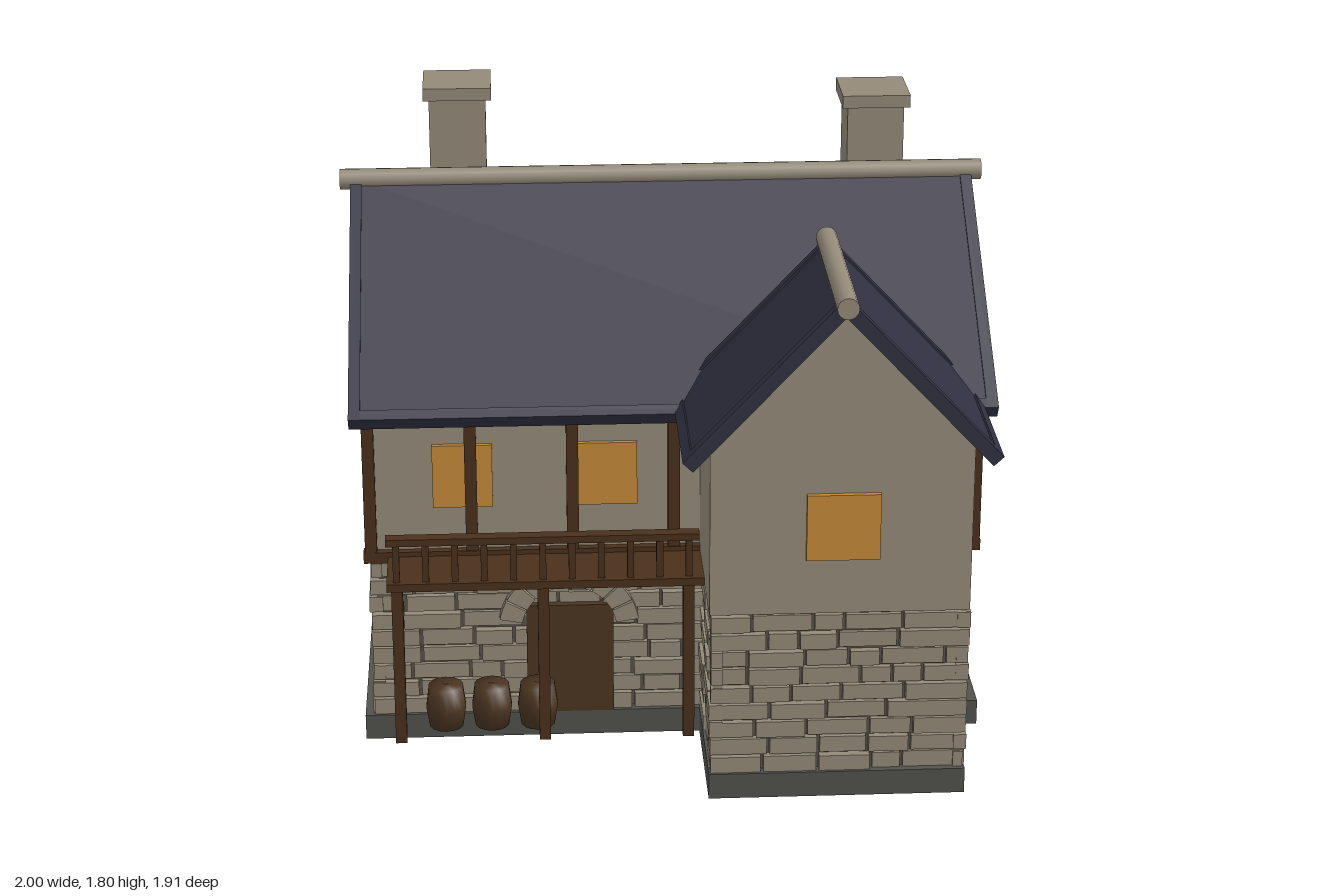
import * as THREE from 'three';
import { mergeGeometries } from 'three/addons/utils/BufferGeometryUtils.js';

const mat = (name, color) => {
  const m = new THREE.MeshStandardMaterial({ color });
  m.name = name;
  return m;
};

export function createModel() {
  const plaster = mat('plaster', 0x958b7a);
  const stone = mat('stone', 0x938a79);
  const mortar = mat('mortar', 0x575046);
  const slate = mat('slate', 0x313041);
  const footing = mat('footing', 0x51524d);
  const timber = mat('timber', 0x4a301b);
  const glow = mat('windowGlow', 0xc58a38);
  const doorWood = mat('doorWood', 0x4b3521);

  const house = new THREE.Group();
  house.name = 'house';
  let seed = 7;
  const rand = () => (seed = (seed * 16807) % 2147483647) / 2147483647;

  const add = (name, geometry, material, parent = house) => {
    const m = new THREE.Mesh(geometry, material);
    m.name = name;
    parent.add(m);
    return m;
  };
  const boxGeo = (x0, x1, y0, y1, z0, z1) =>
    new THREE.BoxGeometry(x1 - x0, y1 - y0, z1 - z0)
      .translate((x0 + x1) / 2, (y0 + y1) / 2, (z0 + z1) / 2);
  const box = (name, material, ...b) => add(name, boxGeo(...b), material);

  // Footing
  box('mainFooting', footing, -0.95, 0.945, 0, 0.08, -0.89, 0.48);
  box('wingFooting', footing, 0.08, 0.845, 0, 0.08, 0.48, 0.92);

  // Ground floor: mortar core faced with coursed stone blocks
  box('mainCore', mortar, -0.895, 0.87, 0.08, 0.6, -0.86, 0.445);
  box('wingCore', mortar, 0.1, 0.825, 0.08, 0.6, 0.4, 0.885);
  const rows = 9, rowH = 0.515 / rows, gap = 0.009;
  function stoneWall(name, along, from, to, face, out) {
    const parts = [];
    for (let r = 0; r < rows; r++) {
      const y0 = 0.08 + r * rowH;
      let a = from;
      while (a < to - 0.001) {
        let b = a + 0.09 + rand() * 0.1;
        if (to - b < 0.06) b = to;
        const f = face + out * (rand() - 0.5) * 0.016, back = face - out * 0.035;
        const lo = Math.min(f, back), hi = Math.max(f, back);
        const end = b === to ? b : b - gap;
        const top = y0 + rowH - gap * (0.6 + rand() * 0.6);
        parts.push(along === 'x' ? boxGeo(a, end, y0, top, lo, hi) : boxGeo(lo, hi, y0, top, a, end));
        a = b;
      }
    }
    add(name, mergeGeometries(parts), stone);
  }
  stoneWall('frontStones', 'x', -0.92, 0.89, 0.465, 1);
  stoneWall('backStones', 'x', -0.92, 0.89, -0.875, -1);
  stoneWall('leftStones', 'z', -0.875, 0.465, 0.89, 1);
  stoneWall('rightStones', 'z', -0.875, 0.465, -0.92, -1);
  stoneWall('wingFrontStones', 'x', 0.085, 0.845, 0.905, 1);
  stoneWall('wingLeftStones', 'z', 0.46, 0.905, 0.845, 1);
  stoneWall('wingRightStones', 'z', 0.46, 0.905, 0.085, -1);

  // Upper floors: gabled prisms, ridge along local z
  function gable(name, half, y0, eave, apex, depth) {
    const s = new THREE.Shape();
    s.moveTo(-half, y0);
    s.lineTo(half, y0);
    s.lineTo(half, eave);
    s.lineTo(0, apex);
    s.lineTo(-half, eave);
    const g = new THREE.ExtrudeGeometry(s, { depth, bevelEnabled: false });
    return add(name, g.translate(0, 0, -depth / 2), plaster);
  }
  const mainUpper = gable('mainUpperFloor', 0.668, 0.595, 1.075, 1.545, 1.8);
  mainUpper.rotation.y = Math.PI / 2;
  mainUpper.position.z = -0.208;
  gable('wingUpperFloor', 0.3825, 0.595, 1.11, 1.525, 0.465).position.set(0.4625, 0, 0.6725);

  // Roofs: two slabs with raised edging and a round ridge cap
  function roof(name, length, run, rise, th, ridgeLength, capDrop) {
    const g = new THREE.Group();
    g.name = name;
    const L = Math.hypot(run, rise), ang = Math.atan2(rise, run), h = length / 2, e = 0.035;
    for (const turn of [0, Math.PI]) {
      const slab = mergeGeometries([
        boxGeo(0, L, -th, -0.006, -h, h),
        boxGeo(0, L, -th - 0.004, 0, h - e, h),
        boxGeo(0, L, -th - 0.004, 0, -h, e - h),
        boxGeo(L - e, L, -th - 0.004, 0, -h, h),
      ]);
      add('roofSlope', slab.rotateZ(-ang).rotateY(turn), slate, g);
    }
    const cap = new THREE.CylinderGeometry(0.032, 0.032, ridgeLength, 16).rotateX(Math.PI / 2);
    add('ridgeCap', cap.translate(0, -capDrop, 0), stone, g);
    house.add(g);
    return g;
  }
  const mainRoof = roof('mainRoof', 1.935, 0.745, 0.52, 0.046, 2, 0.012);
  mainRoof.rotation.y = Math.PI / 2;
  mainRoof.position.set(0, 1.603, -0.21);
  roof('wingRoof', 0.555, 0.463, 0.494, 0.037, 0.63, 0.02).position.set(0.463, 1.578, 0.643);

  // Chimneys
  for (const [x, z, top] of [[-0.635, -0.58, 1.8], [0.697, -0.548, 1.765]]) {
    box('chimneyShaft', stone, x - 0.09, x + 0.09, 1.15, top - 0.04, z - 0.092, z + 0.092);
    box('chimneyCap', stone, x - 0.108, x + 0.108, top - 0.04, top, z - 0.108, z + 0.108);
  }

  // Timber frame
  for (const z of [0.465, -0.875]) {
    box('sillBeam', timber, -0.938, 0.935, 0.595, 0.63, z - 0.02, z + 0.02);
    for (let i = 0; i < 7; i++) {
      const x = -0.915 + i * 0.305;
      box('framePost', timber, x - 0.018, x + 0.018, 0.61, 1.085, z - 0.018, z + 0.018);
    }
  }

  // Windows
  for (const x of [-0.635, -0.2])
    box('frontWindow', glow, x - 0.09, x + 0.09, 0.77, 0.97, 0.455, 0.475);
  for (const x of [-0.4, 0.4])
    box('backWindow', glow, x - 0.09, x + 0.09, 0.77, 0.97, -0.89, -0.87);
  box('wingWindow', glow, 0.36, 0.575, 0.77, 0.975, 0.9, 0.921);

  // Door and stone arch
  box('door', doorWood, -0.45, -0.185, 0.08, 0.44, 0.45, 0.482);
  const n = 9, arch = [];
  for (let i = 0; i < n; i++) {
    const a0 = 0.15 + i * (Math.PI - 0.3) / n, a1 = a0 + (Math.PI - 0.3) / n - 0.03;
    const s = new THREE.Shape();
    s.absarc(0, 0, 0.215, a0, a1, false);
    s.absarc(0, 0, 0.145, a1, a0, true);
    arch.push(new THREE.ExtrudeGeometry(s, { depth: 0.04, bevelEnabled: false, curveSegments: 3 }));
  }
  add('doorArch', mergeGeometries(arch), stone).position.set(-0.32, 0.36, 0.448);

  // Balcony
  box('balconyDeck', timber, -0.865, 0.08, 0.59, 0.615, 0.46, 0.685);
  box('balconyRail', timber, -0.865, 0.065, 0.735, 0.757, 0.64, 0.68);
  for (let i = 0; i < 11; i++) {
    const x = -0.835 + i * 0.087;
    box('baluster', timber, x - 0.01, x + 0.01, 0.61, 0.74, 0.65, 0.67);
  }
  for (const x of [-0.835, -0.4, 0.035])
    box('balconyPost', timber, x - 0.017, x + 0.017, 0.08, 0.595, 0.635, 0.669);

  // Barrels
  const barrel = new THREE.LatheGeometry(
    [[0, 0], [0.052, 0], [0.062, 0.065], [0.053, 0.135], [0, 0.135]].map(p => new THREE.Vector2(...p)), 14);
  for (const x of [-0.7, -0.56, -0.42])
    add('barrel', barrel, doorWood).position.set(x, 0.08, 0.55);

  return house;
}
